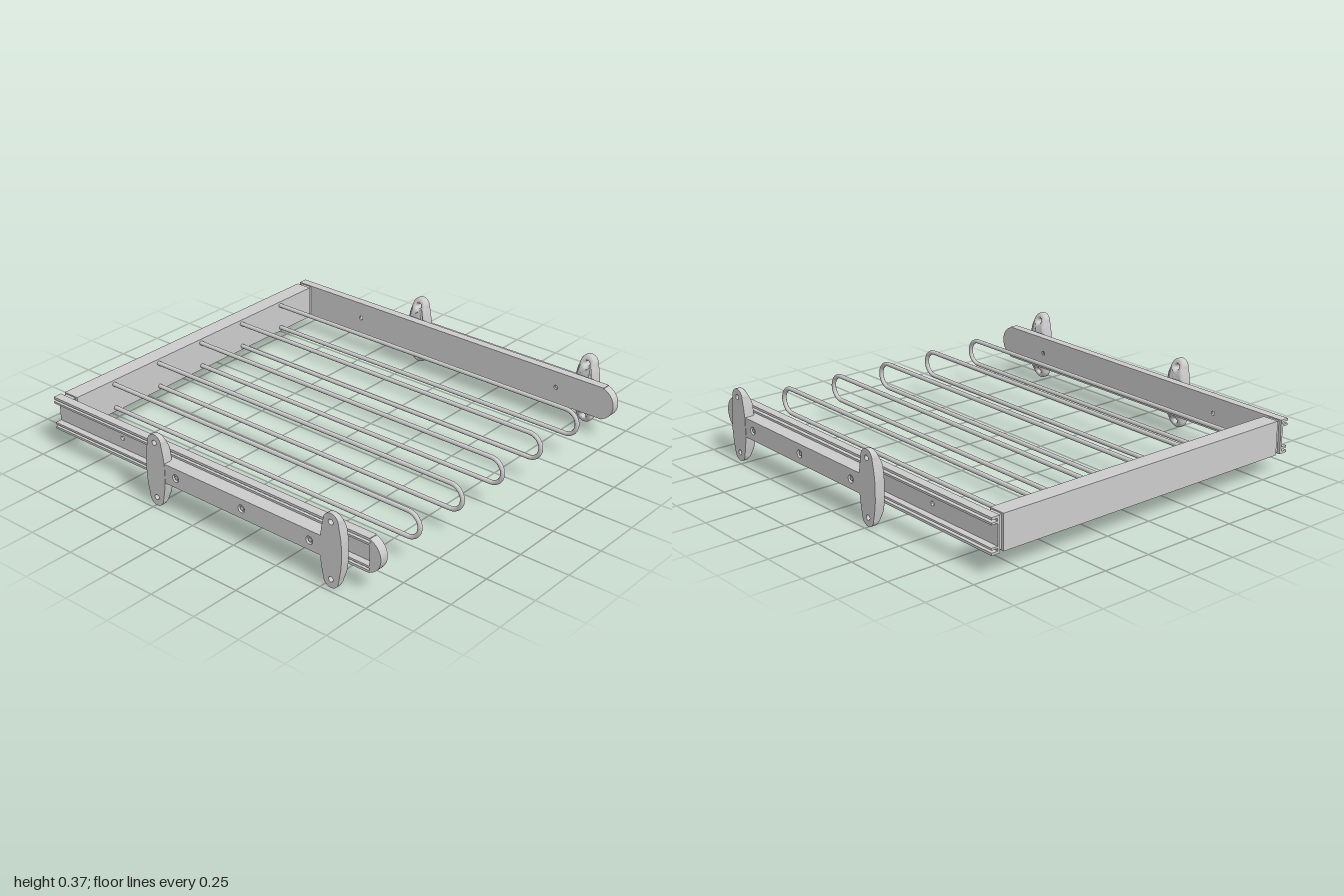
import * as THREE from 'three';
import { toCreasedNormals } from 'three/addons/utils/BufferGeometryUtils.js';

const MID = 0.185;   // centre height of the rails
const HALF = 0.085;  // half height of the rails
const material = new THREE.MeshStandardMaterial({ color: 0xcccccc });

// Reflects a geometry in x and turns its faces back outward
function mirrorX(geometry) {
  const g = geometry.index ? geometry.toNonIndexed() : geometry.clone();
  for (const name of ['position', 'normal']) {
    const a = g.attributes[name];
    for (let i = 0; i < a.count; i += 3) {
      const p = [0, 2, 1].map(k => [-a.getX(i + k), a.getY(i + k), a.getZ(i + k)]);
      p.forEach((v, k) => a.setXYZ(i + k, ...v));
    }
  }
  g.deleteAttribute('uv');
  return g;
}

function box(x0, x1, y0, y1, z0, z1) {
  return new THREE.BoxGeometry(x1 - x0, y1 - y0, z1 - z0)
    .translate((x0 + x1) / 2, (y0 + y1) / 2, (z0 + z1) / 2);
}

// Outline drawn as (z, y), extruded inward from its outer face at x
function sideExtrude(shape, x, depth) {
  const g = new THREE.ExtrudeGeometry(shape, { depth, bevelEnabled: false, curveSegments: 24 });
  return toCreasedNormals(g.rotateY(-Math.PI / 2).translate(x, 0, 0), 0.6);
}

function plateShape(z0, z1, y0, y1, holes, r) {
  const s = new THREE.Shape();
  s.moveTo(z0, y0).lineTo(z1, y0).lineTo(z1, y1).lineTo(z0, y1).closePath();
  for (const z of holes) s.holes.push(new THREE.Path().absarc(z, MID, r, 0, Math.PI * 2, true));
  return s;
}

// Two-lobed bracket: flat outside, domed and countersunk inside, thinner at its lobes
function bracketGeometry(z) {
  const lobe = 0.042, reach = 0.1405;
  const s = new THREE.Shape();
  s.moveTo(0.058, -0.04).lineTo(0.058, 0.04);
  s.quadraticCurveTo(0.056, 0.08, lobe, reach);
  s.absarc(0, reach, lobe, 0, Math.PI, false);
  s.quadraticCurveTo(-0.056, 0.08, -0.058, 0.04);
  s.lineTo(-0.058, -0.04);
  s.quadraticCurveTo(-0.056, -0.08, -lobe, -reach);
  s.absarc(0, -reach, lobe, Math.PI, Math.PI * 2, false);
  s.quadraticCurveTo(0.056, -0.08, 0.058, -0.04);
  for (const v of [-reach, reach]) {
    s.holes.push(new THREE.Path().absarc(0, v, 0.013, 0, Math.PI * 2, true));
  }
  const g = new THREE.ExtrudeGeometry(s, {
    depth: 0.034, bevelThickness: 0.024, bevelSize: 0.012, bevelOffset: -0.012,
    bevelSegments: 5, curveSegments: 14,
  });
  const p = g.attributes.position;
  for (let i = 0; i < p.count; i++) {
    const thin = 1 - 0.42 * THREE.MathUtils.smoothstep(Math.abs(p.getY(i)), 0.1, 0.185);
    p.setZ(i, Math.max(p.getZ(i), 0) * thin);
  }
  g.rotateY(-Math.PI / 2).translate(0.977, 0.1825, z);
  return toCreasedNormals(g, 0.6);
}

// Parts of one side, on +x
function sideParts() {
  const parts = [];
  const add = (name, geometry) => parts.push([name, geometry]);

  // Channel rail: web with screw holes and paired flanges
  add('railWeb', sideExtrude(plateShape(-1, 0.94, MID - HALF, MID + HALF, [-0.57, 0.67], 0.011), 0.872, 0.012));
  for (const s of [-1, 1]) {
    for (const [a, b] of [[0.073, HALF], [0.051, 0.061]]) {
      const ys = [MID + s * a, MID + s * b].sort((p, q) => p - q);
      add('railFlange', box(0.868, 0.905, ...ys, -1, 0.94));
    }
  }

  // Rounded nose of the rail
  const nose = new THREE.Shape();
  const edge = Math.acos(0.025 / HALF), rise = HALF * Math.sin(edge);
  nose.moveTo(0.94, MID - rise);
  nose.absarc(0.915, MID, HALF, -edge, edge, false);
  nose.closePath();
  add('railNose', sideExtrude(nose, 0.905, 0.045));

  // Fixed slide bar with a drilled face
  const screws = [0.67, 0.28, -0.12];
  add('slideBar', box(0.88, 0.963, MID - 0.049, MID + 0.049, -0.22, 0.77));
  add('slideFace', sideExtrude(plateShape(-0.22, 0.77, MID - 0.049, MID + 0.049, screws, 0.019), 0.975, 0.012));
  for (const z of screws) {
    add('screw', new THREE.CylinderGeometry(0.01, 0.01, 0.008, 20)
      .rotateZ(Math.PI / 2).translate(0.967, MID, z));
  }

  for (const z of [0.79, -0.245]) add('mountingBracket', bracketGeometry(z));
  return parts;
}

// Hairpin rod lying in a vertical plane
function rodGeometry() {
  const r = 0.064, zBend = 0.902;
  const path = new THREE.CurvePath();
  const at = (y, z) => new THREE.Vector3(0, MID + y, z);
  const k = r * 0.5523;
  path.add(new THREE.LineCurve3(at(r, -0.93), at(r, zBend)));
  path.add(new THREE.CubicBezierCurve3(at(r, zBend), at(r, zBend + k), at(k, zBend + r), at(0, zBend + r)));
  path.add(new THREE.CubicBezierCurve3(at(0, zBend + r), at(-k, zBend + r), at(-r, zBend + k), at(-r, zBend)));
  path.add(new THREE.LineCurve3(at(-r, zBend), at(-r, -0.93)));
  return new THREE.TubeGeometry(path, 260, 0.011, 12, false);
}

export function createModel() {
  const model = new THREE.Group();
  const mesh = (parent, name, geometry) => {
    const m = new THREE.Mesh(geometry, material);
    m.name = name;
    parent.add(m);
    return m;
  };

  // Mirrored side assemblies
  const left = new THREE.Group(), right = new THREE.Group();
  left.name = 'leftSide';
  right.name = 'rightSide';
  for (const [name, geometry] of sideParts()) {
    mesh(left, name, geometry);
    mesh(right, name, mirrorX(geometry));
  }
  model.add(left, right);

  // Rear crossbar with stepped ends
  mesh(model, 'rearBar', box(-0.838, 0.838, MID - HALF, MID + HALF, -0.997, -0.91));
  mesh(model, 'rearBarTenon', box(-0.861, 0.861, MID - HALF + 0.006, MID + HALF - 0.006, -0.985, -0.922));

  // Row of hanging rods
  const rod = rodGeometry();
  for (let i = -2; i <= 2; i++) mesh(model, 'hangingRod', rod).position.x = i * 0.3;

  return model;
}
